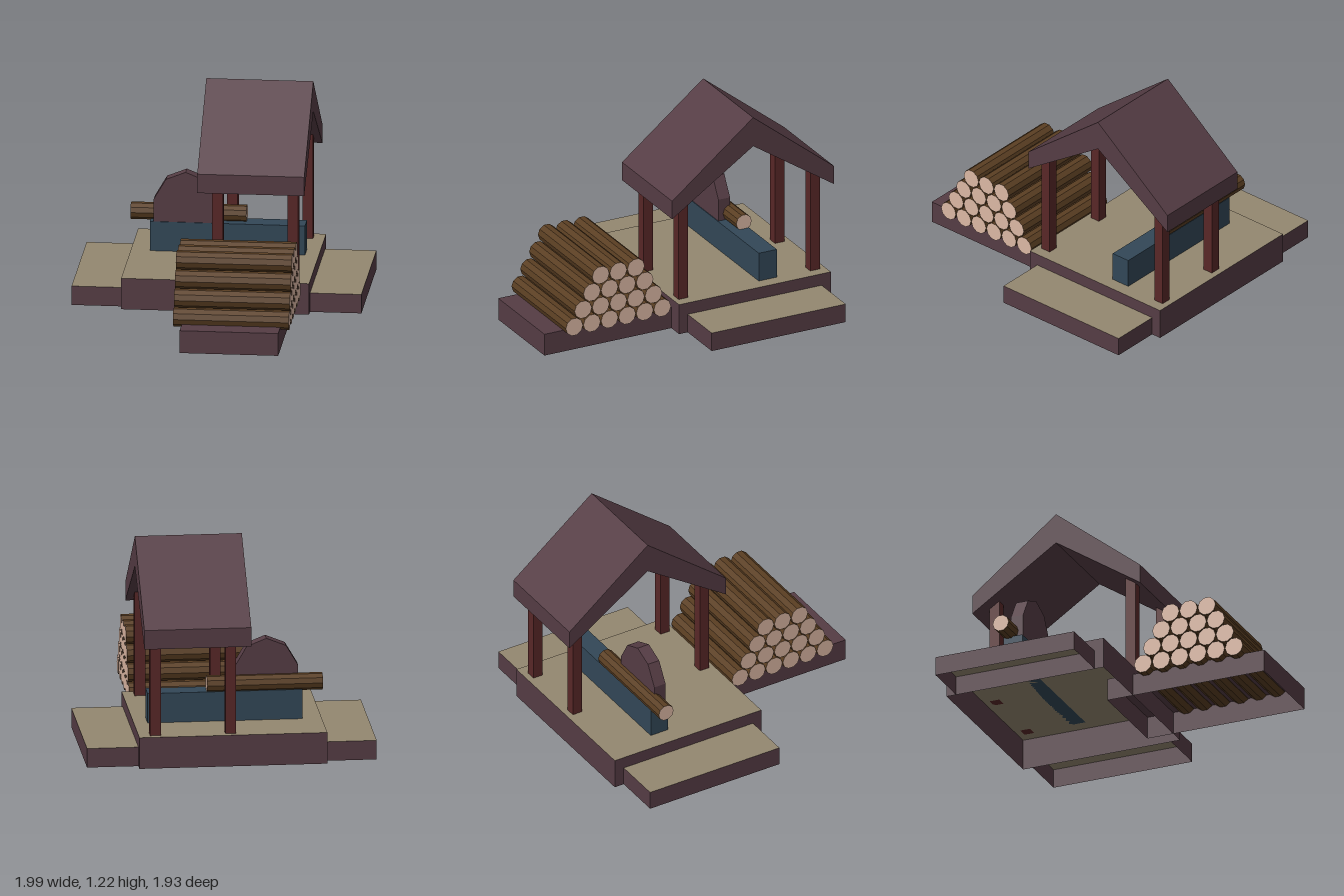
import * as THREE from 'three';

const mat = (name, color) => {
  const m = new THREE.MeshStandardMaterial({ color, flatShading: true, side: THREE.DoubleSide });
  m.name = name;
  return m;
};

export function createModel() {
  const plum = mat('plumWood', 0x553c44);
  const khaki = mat('khakiDeck', 0x948870);
  const blue = mat('blueBench', 0x324757);
  const red = mat('redPost', 0x582727);
  const bark = mat('bark', 0x5a3e22);
  const cut = mat('cutWood', 0xdcb8a4);

  const model = new THREE.Group();
  model.name = 'lumberYard';
  const yard = new THREE.Group();
  yard.name = 'yard';
  yard.rotation.y = THREE.MathUtils.degToRad(35);
  model.add(yard);

  const add = (parent, name, geo, material) => {
    const mesh = new THREE.Mesh(geo, material);
    mesh.name = name;
    parent.add(mesh);
    return mesh;
  };

  const boxGeo = (x0, x1, y0, y1, z0, z1) =>
    new THREE.BoxGeometry(x1 - x0, y1 - y0, z1 - z0)
      .translate((x0 + x1) / 2, (y0 + y1) / 2, (z0 + z1) / 2);

  // Platform open underneath: side walls plus a top sheet
  const platform = (name, x0, x1, h, z0, z1, topMat) => {
    const g = new THREE.Group();
    g.name = name;
    yard.add(g);
    const walls = boxGeo(x0, x1, 0, h, z0, z1);
    const top = walls.clone();
    const idx = Array.from(walls.index.array);
    walls.setIndex([...idx.slice(0, 12), ...idx.slice(24)]);
    top.setIndex(idx.slice(12, 18));
    walls.clearGroups();
    top.clearGroups();
    add(g, name + 'Walls', walls, plum);
    add(g, name + 'Top', top, topMat);
  };
  platform('mainDeck', -0.517, 0.537, 0.18, -0.66, 0.297, khaki);
  platform('rightStep', -0.8, -0.517, 0.11, -0.602, 0.243, khaki);
  platform('leftStep', 0.537, 0.825, 0.11, -0.602, 0.243, khaki);
  platform('logRack', -0.109, 0.444, 0.13, 0.14, 1.097, plum);

  // Logs lie along local x
  const logGeo = new THREE.CylinderGeometry(0.054, 0.054, 0.65, 10).rotateZ(Math.PI / 2);
  const log = (parent, name, x, y, z) =>
    add(parent, name, logGeo, [bark, cut, cut]).position.set(x, y, z);

  // Stacked pile: rows of 6, 5, 4 and 3
  const pile = new THREE.Group();
  pile.name = 'logPile';
  yard.add(pile);
  for (let row = 0; row < 4; row++) {
    const n = 6 - row;
    for (let i = 0; i < n; i++)
      log(pile, 'log', 0.167, 0.16 + row * 0.094, 0.656 + (i - (n - 1) / 2) * 0.111);
  }

  // Saw bench, blade and the log being cut
  add(yard, 'sawBench', boxGeo(-0.41, 0.46, 0.18, 0.35, -0.36, -0.246), blue);
  const blade = add(yard, 'sawBlade',
    new THREE.CylinderGeometry(1, 1, 0.073, 10).rotateX(Math.PI / 2)
      .rotateZ(Math.PI).scale(0.188, 0.233, 1), plum);
  blade.position.set(-0.21, 0.408, -0.287);
  log(yard, 'benchLog', -0.198, 0.388, -0.328);
  yard.getObjectByName('benchLog').scale.set(1, 0.9, 0.9);

  // Posts
  for (const x of [0.021, 0.443])
    for (const z of [-0.594, 0.236])
      add(yard, 'post', boxGeo(x - 0.03, x + 0.03, 0.18, 0.79, z - 0.03, z + 0.03), red);

  // Gabled roof
  const s = new THREE.Shape([
    [-0.511, 0.7], [0, 1.04], [0.511, 0.7], [0.511, 0.81], [0, 1.215], [-0.511, 0.81],
  ].map(([x, y]) => new THREE.Vector2(x, y)));
  const roof = add(yard, 'roof',
    new THREE.ExtrudeGeometry(s, { depth: 0.6, bevelEnabled: false }).rotateY(-Math.PI / 2), plum);
  roof.position.set(0.513, 0, -0.183);

  return model;
}
